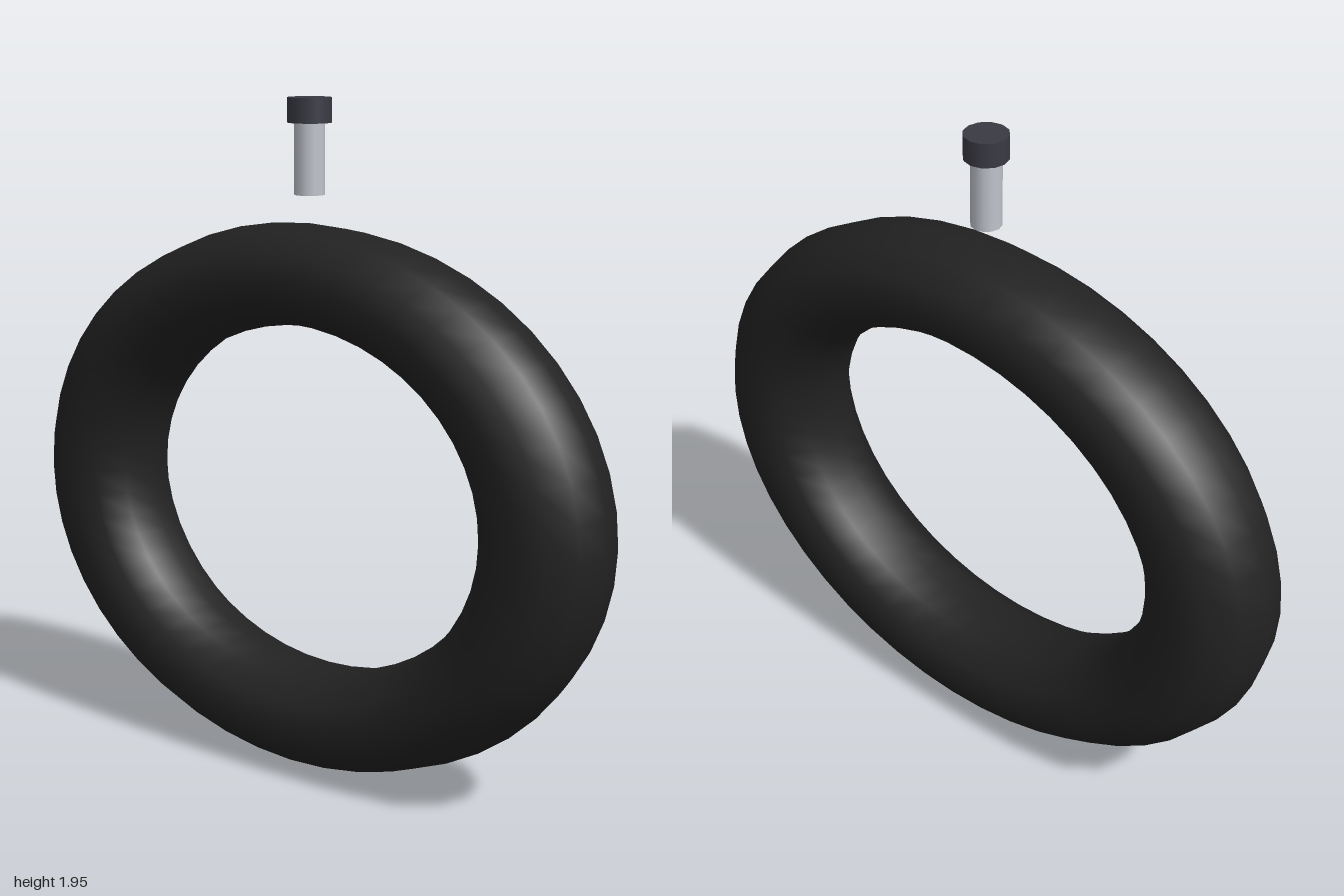
import * as THREE from 'three';

export function createModel() {
  const model = new THREE.Group();
  const material = (name, color) => {
    const m = new THREE.MeshStandardMaterial({ color });
    m.name = name;
    return m;
  };
  const rubber = material('black rubber', 0x222222);
  const metal = material('light metal', 0xc0c4cc);
  const plastic = material('dark plastic', 0x3a3a44);

  const add = (name, geometry, mat, y) => {
    const mesh = new THREE.Mesh(geometry, mat);
    mesh.name = name;
    mesh.position.y = y;
    model.add(mesh);
  };

  // Oval inner tube standing in the yz plane, flattened in height
  const ring = new THREE.TorusGeometry(0.816, 0.184, 12, 48);
  ring.rotateY(Math.PI / 2);
  ring.scale(1, 0.8, 1);
  add('innerTube', ring, rubber, 0.8);

  // Valve floating above the tube
  add('valveStem', new THREE.CylinderGeometry(0.044, 0.044, 0.21, 12), metal, 1.785);
  add('valveCap', new THREE.CylinderGeometry(0.063, 0.063, 0.07, 12), plastic, 1.915);

  return model;
}
